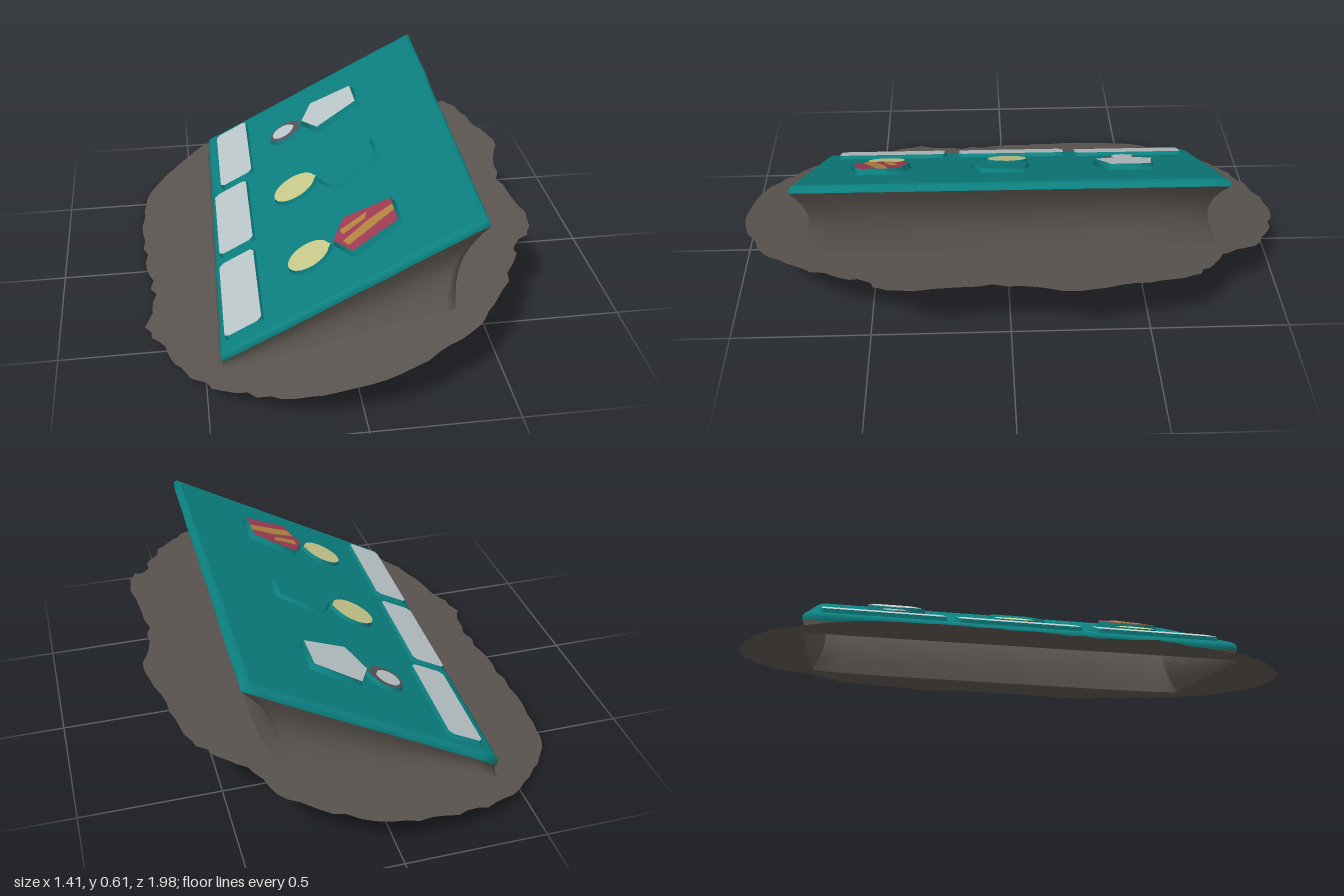
import * as THREE from 'three';

const paint = (name, color) => {
  const m = new THREE.MeshStandardMaterial({ color, side: THREE.DoubleSide });
  m.name = name;
  return m;
};

export function createModel() {
  const teal = paint('teal', 0x0c8080);
  const earth = paint('earth', 0x5b5550);
  const pale = paint('pale grey', 0xbcc7ca);
  const gold = paint('pale gold', 0xc9cb8c);
  const red = paint('ribbon red', 0xa03c55);
  const amber = paint('ribbon amber', 0xb38443);
  const dark = paint('dark grey', 0x55545a);

  const model = new THREE.Group();
  let seed = 7;
  const rand = () => (seed = (seed * 16807) % 2147483647) / 2147483647;

  // Sloped panel: x, z as seen from above, h is height along the panel normal
  const onPanel = (x, z, h = 0) => [x - 0.473 * h, 0.383 + 0.537 * x + 0.881 * h, z];
  const groundY = (x) => 0.188 + 0.254 * x;

  function add(parent, name, geometry, material) {
    geometry.computeVertexNormals();
    const mesh = new THREE.Mesh(geometry, material);
    mesh.name = name;
    parent.add(mesh);
    return mesh;
  }
  // Closed strips joining rings of [x, y, z] points, inner or upper ring first
  function loft(rings) {
    const n = rings[0].length, index = [];
    for (let r = 0; r < rings.length - 1; r++)
      for (let i = 0; i < n; i++) {
        const a = r * n + i, b = r * n + (i + 1) % n;
        index.push(a, a + n, b + n, a, b + n, b);
      }
    const g = new THREE.BufferGeometry();
    g.setAttribute('position', new THREE.Float32BufferAttribute(rings.flat(2), 3));
    g.setIndex(index);
    return g;
  }
  const vec = (pts) => pts.map(([x, z]) => new THREE.Vector2(x, -z));
  // Bend a flat geometry onto a surface rule (x, z, h) => [x, y, z]
  function drape(g, rule) {
    const p = g.attributes.position;
    for (let i = 0; i < p.count; i++) p.setXYZ(i, ...rule(p.getX(i), -p.getY(i), p.getZ(i)));
    return g;
  }
  function sheet(outline, holes, rule) {
    const shape = new THREE.Shape(vec(outline));
    holes.forEach((h) => shape.holes.push(new THREE.Path(vec(h))));
    return drape(new THREE.ShapeGeometry(shape), rule);
  }
  function plate(outline, h) {
    const g = new THREE.ExtrudeGeometry(new THREE.Shape(vec(outline)), { depth: 0.005, bevelEnabled: false });
    return drape(g, (x, z, d) => onPanel(x, z, h - 0.0025 + d));
  }
  const grow = (pts, k) => {
    const c = [0, 1].map((a) => pts.reduce((s, p) => s + p[a], 0) / pts.length);
    return pts.map((p) => p.map((v, a) => c[a] + (v - c[a]) * k));
  };

  // Raised details: cap outline plus a teal collar rising out of the panel
  const panelHoles = [];
  function relief(name, outline, h, material, k = 1.07) {
    const group = new THREE.Group();
    group.name = name;
    const foot = grow(outline, k);
    panelHoles.push(foot);
    add(group, name + 'Face', sheet(outline, [], (x, z) => onPanel(x, z, h)), material);
    add(group, name + 'Collar',
      loft([outline.map(([x, z]) => onPanel(x, z, h)), foot.map(([x, z]) => onPanel(x, z))]), teal);
    model.add(group);
    return group;
  }
  // Disc with a small pointed neck toward the ribbon
  const disc = (cx, cz, r) => Array.from({ length: 28 }, (_, i) => {
    const a = (i / 28) * Math.PI * 2;
    return [cx + r * Math.cos(a) * (i === 0 ? 1.1 : 1), cz - r * Math.sin(a)];
  });
  // Five-sided ribbon, listed anticlockwise from above
  const ribbon = (z) => [[-0.028, z], [0.02, z + 0.11], [0.178, z + 0.07], [0.178, z - 0.07], [0.02, z - 0.1]];

  // Label tags with clipped corners
  [[-0.31, -0.495], [-0.345, -0.03], [-0.358, 0.45]].forEach(([cx, cz], i) => {
    const w = 0.062, l = 0.21, c = 0.014;
    const outline = [[-w, -l + c], [-w, l - c], [-w + c, l], [w - c, l],
      [w, l - c], [w, -l + c], [w - c, -l], [-w + c, -l]]
      .map(([x, z]) => [cx + x - z * 0.018, cz + z]);
    relief('labelTag' + (i + 1), outline, 0.014, pale, 1.04);
  });

  // Gold medal with striped ribbon
  relief('nearMedal', disc(-0.118, 0.455, 0.07), 0.014, gold, 1.05);
  const striped = relief('stripedRibbon', ribbon(0.46), 0.022, red);
  [[[0.0, 0.425], [0.005, 0.455], [0.085, 0.43], [0.095, 0.4]],
    [[0.0, 0.495], [0.015, 0.53], [0.178, 0.465], [0.178, 0.43], [0.09, 0.45]]]
    .forEach((s) => add(striped, 'ribbonStripe', plate(s, 0.022), amber));

  // Gold medal with plain ribbon
  relief('middleMedal', disc(-0.113, -0.005, 0.075), 0.014, gold, 1.05);
  relief('plainRibbon', ribbon(0.02), 0.014, teal);

  // Silver medal with pale ribbon
  const silver = relief('farMedal', disc(-0.1, -0.445, 0.06), 0.014, dark, 1.08);
  add(silver, 'farMedalCentre', plate(disc(-0.107, -0.448, 0.041), 0.014), pale);
  relief('paleRibbon', ribbon(-0.44), 0.022, pale);

  // Slightly wavering edge of the panel, anticlockwise from above
  const corners = [[-0.415, -0.765], [-0.455, 0.72], [0.412, 0.74], [0.448, -0.73]];
  const edge = [];
  corners.forEach((a, s) => {
    const b = corners[(s + 1) % 4], n = 16;
    for (let i = 0; i < n; i++) {
      const t = i / n, j = i ? 0.004 : 0;
      edge.push([a[0] + (b[0] - a[0]) * t + (rand() - 0.5) * j, a[1] + (b[1] - a[1]) * t + (rand() - 0.5) * j]);
    }
  });
  const outward = ([x, z]) => [x / 0.44, z / 0.74].map((u) => Math.sign(u) * Math.min(1, Math.abs(u) ** 7));
  const inset = (d) => edge.map((p) => { const n = outward(p); return [p[0] - n[0] * d, p[1] - n[1] * d]; });
  const rimRing = (d, h) => inset(d).map(([x, z]) => onPanel(x, z, h));

  // Panel and rounded rim
  add(model, 'displayPanel', sheet(inset(0.022), panelHoles, (x, z) => onPanel(x, z)), teal);
  add(model, 'panelRim', loft([rimRing(0.022, 0), rimRing(0.007, -0.004), rimRing(0, -0.014), rimRing(0, -0.026)]), teal);

  // Concave walls running down into the ground
  const wallRing = (s) => edge.map((p) => {
    const n = outward(p), top = onPanel(p[0], p[1], -0.026);
    const u = Math.max(0, p[0] / 0.44), v = Math.abs(p[1] / 0.74);
    const bx = p[0] - 0.06 * u - 0.04 * u ** 4 * v ** 6, by = groundY(bx);
    const hollow = Math.sin(Math.PI * s) * 0.14 * (top[1] - by);
    return [top[0] + (bx - top[0]) * s - n[0] * hollow,
      top[1] + (by - top[1]) * s,
      p[1] - n[1] * hollow];
  });
  add(model, 'standWalls', loft([0, 0.15, 0.3, 0.45, 0.6, 0.75, 0.88, 1].map(wallRing)), earth);

  // Tilted ground sheet with ragged outline, open beneath the stand
  const outline = [[0, -1], [0.2, -0.97], [0.37, -0.88], [0.45, -0.75], [0.55, -0.68], [0.62, -0.58],
    [0.66, -0.4], [0.7, -0.2], [0.66, 0], [0.65, 0.2], [0.68, 0.42], [0.6, 0.5], [0.55, 0.62],
    [0.46, 0.77], [0.36, 0.88], [0.2, 0.95], [0, 0.99], [-0.2, 0.96], [-0.36, 0.88], [-0.5, 0.77],
    [-0.58, 0.65], [-0.64, 0.5], [-0.7, 0.35], [-0.67, 0.2], [-0.69, 0], [-0.7, -0.2],
    [-0.71, -0.45], [-0.65, -0.62], [-0.52, -0.78], [-0.37, -0.9], [-0.2, -0.96]];
  const curve = new THREE.CatmullRomCurve3(outline.map(([x, z]) => new THREE.Vector3(x, 0, z)), true);
  const ragged = curve.getPoints(130).slice(0, -1).map((p) => {
    const k = 0.975 + rand() * 0.035;
    return [p.x * k, p.z * (0.985 + rand() * 0.018)];
  });
  const footprint = wallRing(1).map((p) => [p[0], p[2]]);
  add(model, 'groundSheet', sheet(ragged, [footprint], (x, z) => [x, groundY(x), z]), earth);

  return model;
}
